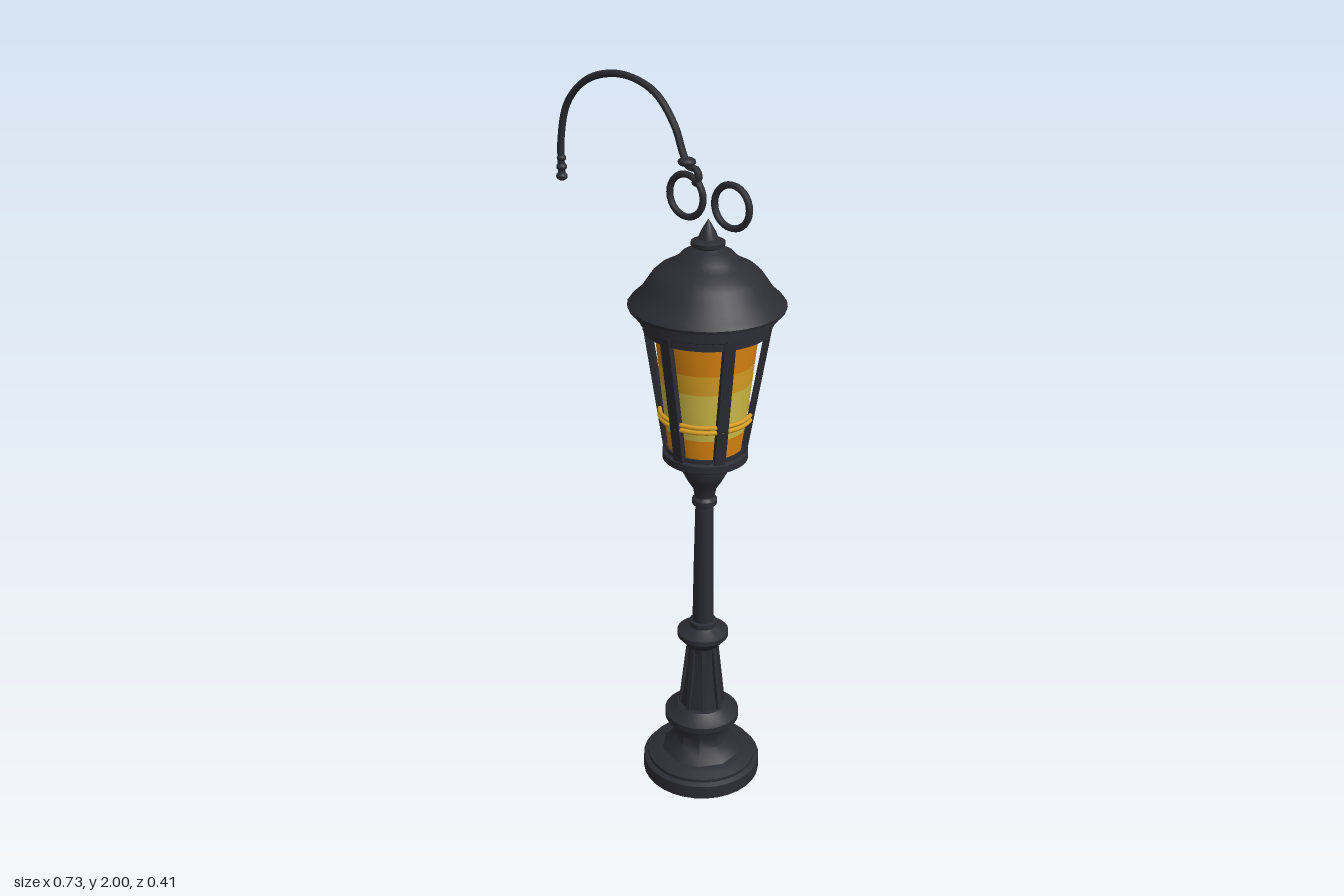
import * as THREE from 'three';
import { toCreasedNormals } from 'three/addons/utils/BufferGeometryUtils.js';

const flat = (name, color, side = THREE.FrontSide) => {
  const m = new THREE.MeshStandardMaterial({ color, side });
  m.name = name;
  return m;
};

export function createModel() {
  const iron = flat('dark iron', 0x2c2c35);
  const orange = flat('orange glass', 0xdb8510, THREE.DoubleSide);
  const gold = flat('gold glass', 0xdba124, THREE.DoubleSide);
  const pale = flat('pale yellow glass', 0xd2bd48, THREE.DoubleSide);

  const model = new THREE.Group();
  model.name = 'streetLamp';
  const lamp = new THREE.Group();
  lamp.name = 'lampPost';
  lamp.position.x = 0.158;
  model.add(lamp);

  const add = (name, geometry, material = iron, parent = lamp) => {
    const mesh = new THREE.Mesh(geometry, material);
    mesh.name = name;
    parent.add(mesh);
    return mesh;
  };
  // Turned part from [radius, height] pairs, listed bottom to top
  const turned = (name, profile, sides = 32, material = iron) => {
    const g = new THREE.LatheGeometry(profile.map(([r, y]) => new THREE.Vector2(r, y)), sides);
    return add(name, toCreasedNormals(g, 0.6), material);
  };

  // Foot and pedestal
  turned('foot', [[0, 0], [0.168, 0], [0.168, 0.04], [0.155, 0.046], [0.155, 0.056],
    [0.135, 0.064], [0.118, 0.07], [0, 0.07]]);
  turned('pedestalNeck', [[0.12, 0.065], [0.1, 0.085], [0.083, 0.11], [0.078, 0.135], [0.088, 0.165]], 10);
  turned('pedestalRing', [[0.07, 0.155], [0.092, 0.165], [0.106, 0.178], [0.106, 0.196],
    [0.085, 0.207], [0.07, 0.222], [0.05, 0.225]]);
  turned('taperedColumn', [[0.063, 0.215], [0.054, 0.27], [0.045, 0.34], [0.041, 0.4], [0.046, 0.425]], 10);
  turned('columnCollar', [[0.04, 0.415], [0.055, 0.43], [0.072, 0.45], [0.072, 0.464],
    [0.05, 0.474], [0.038, 0.482], [0.038, 0.496], [0.025, 0.5]]);

  // Ribs along the tapered column
  for (let i = 0; i < 8; i++) {
    const pivot = new THREE.Group();
    pivot.name = 'columnRib';
    pivot.rotation.y = (i * Math.PI) / 4;
    lamp.add(pivot);
    const rib = add('rib', new THREE.BoxGeometry(0.012, 0.19, 0.012), iron, pivot);
    rib.position.set(0, 0.315, 0.05);
    rib.rotation.x = -0.11;
  }

  // Shaft and bulb under the lantern
  turned('shaft', [[0.03, 0.49], [0.028, 0.68], [0.025, 0.87]], 12);
  turned('upperCollar', [[0.025, 0.862], [0.034, 0.868], [0.034, 0.882], [0.027, 0.89],
    [0.032, 0.915], [0.048, 0.94], [0.061, 0.965], [0.061, 0.985], [0.046, 1.005], [0.046, 1.012]], 24);

  // Lantern floor
  turned('lanternFloor', [[0, 1.005], [0.108, 1.005], [0.115, 1.01], [0.115, 1.03],
    [0.106, 1.034], [0.106, 1.045], [0, 1.045]]);

  // Glass in horizontal colour bands
  const glassRadius = (y) => 0.1 + ((y - 1.04) / 0.34) * 0.037;
  [[1.04, 1.1, orange], [1.1, 1.235, pale], [1.235, 1.29, gold], [1.29, 1.385, orange]]
    .forEach(([a, b, m]) => turned('glassBand', [[glassRadius(a), a], [glassRadius(b), b]], 24, m));

  // Hoops around the glass
  [1.132, 1.146].forEach((y) => {
    const hoop = add('glassHoop', new THREE.TorusGeometry(0.122, 0.006, 6, 36), gold);
    hoop.rotation.x = Math.PI / 2;
    hoop.position.y = y;
  });

  // Six leaning cage bars
  for (let i = 0; i < 6; i++) {
    const pivot = new THREE.Group();
    pivot.name = 'cageBar';
    pivot.rotation.y = (i * Math.PI) / 3;
    lamp.add(pivot);
    const bar = add('bar', new THREE.BoxGeometry(0.03, 0.38, 0.016), iron, pivot);
    bar.position.set(0, 1.21, 0.132);
    bar.rotation.x = Math.atan2(0.058, 0.36);
  }

  // Cornice and roof
  turned('cornice', [[0, 1.37], [0.145, 1.37], [0.166, 1.375], [0.166, 1.395], [0.176, 1.4],
    [0.176, 1.412], [0.187, 1.416], [0.187, 1.43], [0.2, 1.434]]);
  turned('roof', [[0.19, 1.432], [0.204, 1.436], [0.206, 1.444], [0.196, 1.456], [0.176, 1.474],
    [0.16, 1.498], [0.145, 1.52], [0.126, 1.538], [0.1, 1.551], [0.078, 1.566], [0.066, 1.58],
    [0.042, 1.588], [0.03, 1.596]]);
  turned('finial', [[0.03, 1.592], [0.044, 1.6], [0.044, 1.61], [0.026, 1.618], [0.02, 1.634],
    [0.01, 1.652], [0, 1.668]], 16);

  // Pair of scroll rings
  [0.085, 0.232].forEach((x) => {
    add('scrollRing', new THREE.TorusGeometry(0.055, 0.009, 8, 28), iron, model).position.set(x, 1.713, 0);
  });

  // Curved hook
  const path = new THREE.CatmullRomCurve3([
    [-0.353, 1.68], [-0.353, 1.78], [-0.325, 1.885], [-0.25, 1.957], [-0.13, 1.986], [-0.02, 1.957],
    [0.045, 1.885], [0.073, 1.82], [0.09, 1.79], [0.118, 1.785], [0.126, 1.765], [0.112, 1.748],
  ].map(([x, y]) => new THREE.Vector3(x, y, 0)));
  add('hook', new THREE.TubeGeometry(path, 72, 0.0095, 8), iron, model);

  // Knot where the hook meets the scroll
  const knot = add('hookKnot', new THREE.SphereGeometry(0.024, 12, 8), iron, model);
  knot.scale.y = 0.5;
  knot.position.set(0.086, 1.8, 0);

  // Beads on the hanging tip
  [[1.732, 0.013], [1.708, 0.015], [1.682, 0.016]].forEach(([y, r]) => {
    const bead = add('tipBead', new THREE.SphereGeometry(r, 12, 8), iron, model);
    bead.scale.y = 0.75;
    bead.position.set(-0.353, y, 0);
  });
  return model;
}
